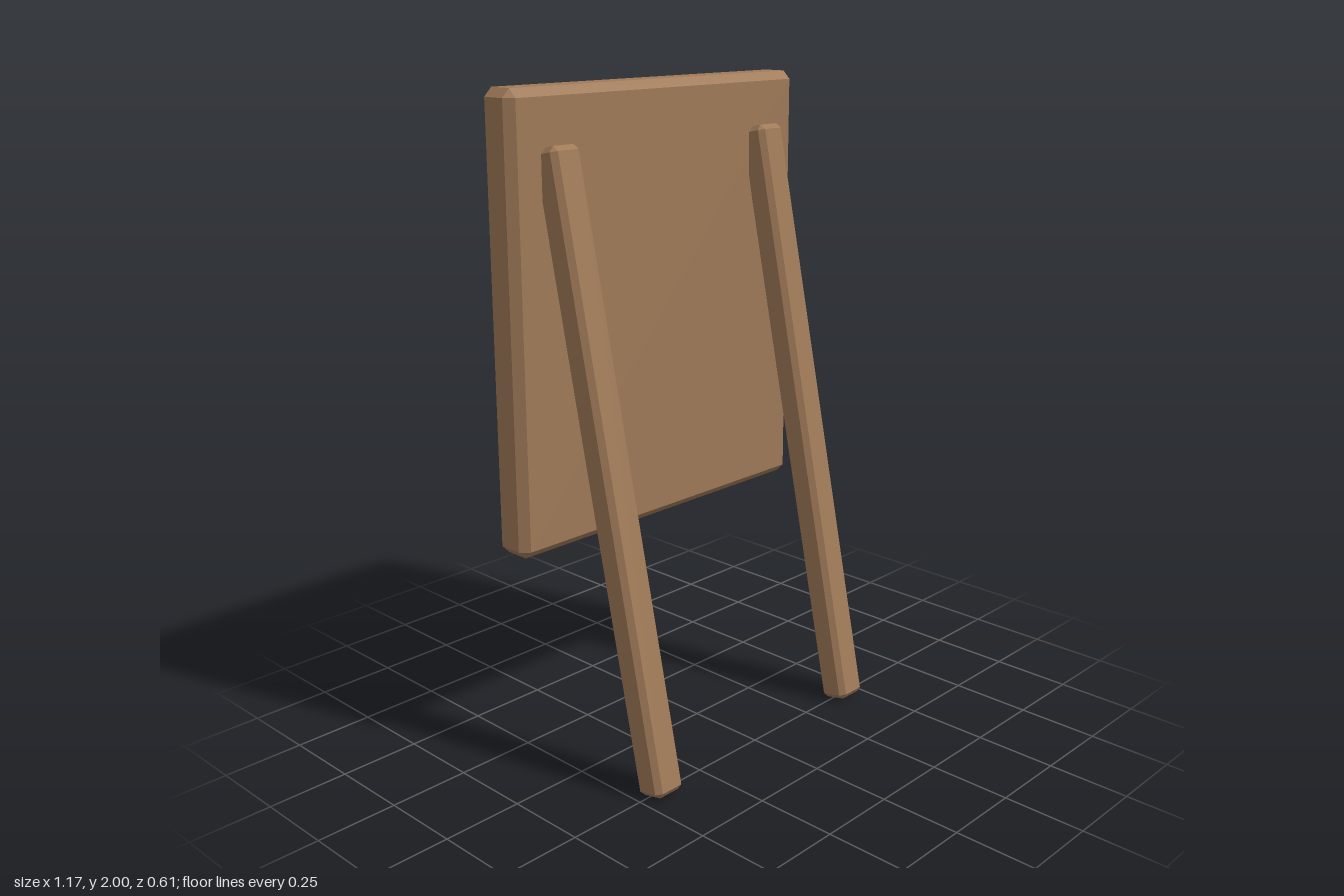
import * as THREE from 'three';
import { ConvexGeometry } from 'three/addons/geometries/ConvexGeometry.js';

const wood = new THREE.MeshStandardMaterial({ color: 0xa07a58, flatShading: true });
const slate = new THREE.MeshStandardMaterial({ color: 0x283e58, flatShading: true });
const chalk = new THREE.MeshStandardMaterial({ color: 0xc8c5b5, flatShading: true });

// Box with every edge and corner cut flat by the bevel width
function chamferBox(w, h, d, bevel) {
  const points = [];
  for (const sx of [-1, 1]) for (const sy of [-1, 1]) for (const sz of [-1, 1]) {
    for (let axis = 0; axis < 3; axis++) {
      const inset = [0, 1, 2].map((i) => (i === axis ? 0 : bevel));
      points.push(new THREE.Vector3(
        sx * (w / 2 - inset[0]), sy * (h / 2 - inset[1]), sz * (d / 2 - inset[2])));
    }
  }
  return new ConvexGeometry(points);
}

export function createModel() {
  const model = new THREE.Group();
  model.name = 'signBoard';

  function add(name, size, bevel, material, x, y, z) {
    const mesh = new THREE.Mesh(chamferBox(...size, bevel), material);
    mesh.name = name;
    mesh.position.set(x, y, z);
    model.add(mesh);
    return mesh;
  }

  // Thick wooden board and the dark panel on its back
  add('board', [1.17, 1.34, 0.125], 0.025, wood, 0, 1.33, -0.192);
  add('panel', [0.945, 1.09, 0.032], 0.008, slate, 0, 1.347, -0.274);

  // Raised lines on the panel: [width, height above ground]
  const lines = [[0.51, 1.722], [0.69, 1.485], [0.54, 1.315], [0.69, 1.145], [0.42, 0.975]];
  lines.forEach(([w, y], i) =>
    add(`line${i + 1}`, [w, 0.034, 0.017], 0.003, chalk, 0, y, -0.2965));

  // Slanted legs leaning against the board
  for (const side of [-1, 1]) {
    const leg = add(side > 0 ? 'leftLeg' : 'rightLeg', [0.106, 1.873, 0.095], 0.016, wood,
      side * 0.424, 0.9225, 0.067);
    leg.rotation.x = -0.21;
  }
  return model;
}
